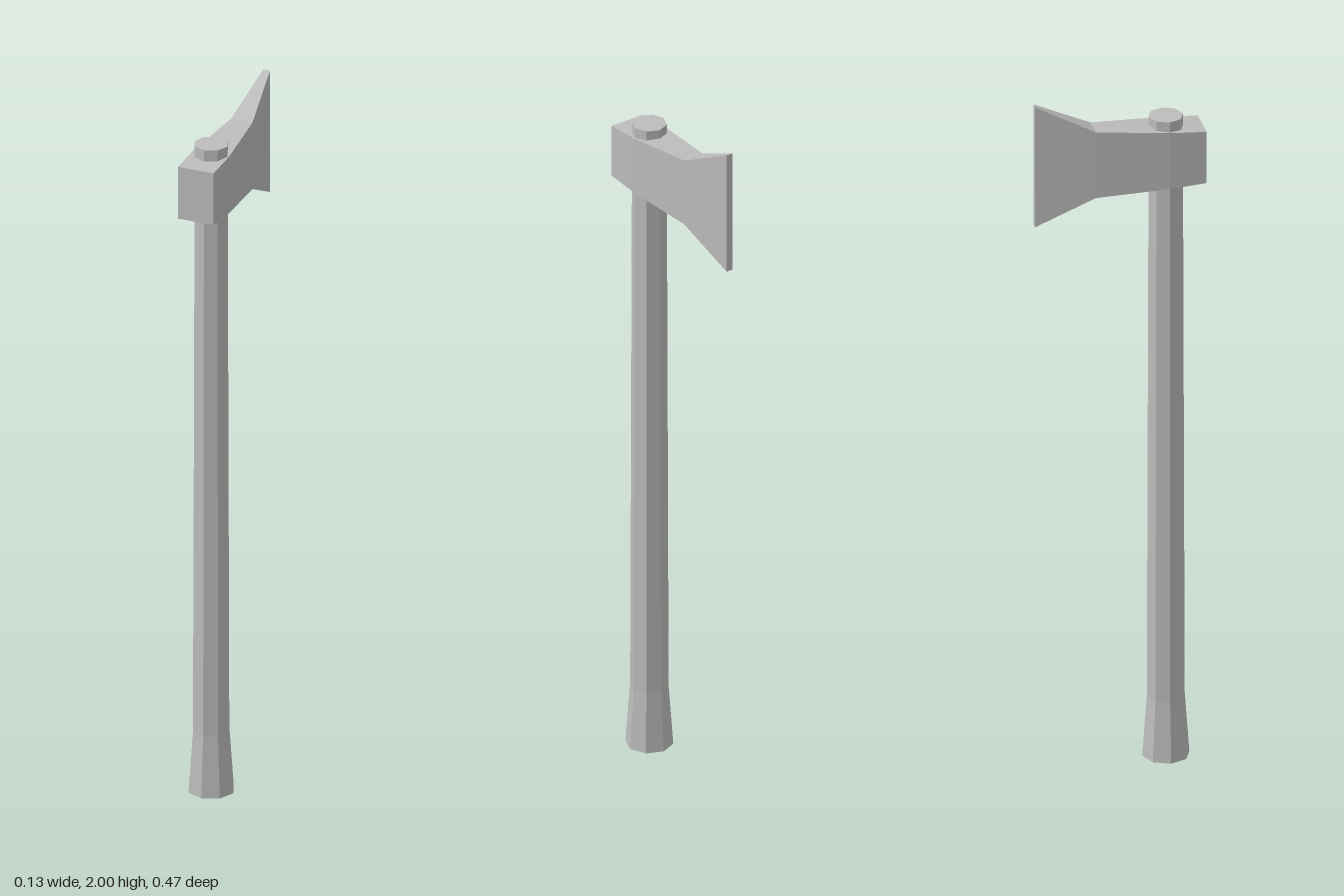
import * as THREE from 'three';

// Closed solid lofted through rectangular sections [z, halfWidth, yBottom, yTop], front to back
function loftSections(sections) {
  const positions = [];
  const index = [];
  for (const [z, w, y0, y1] of sections) {
    positions.push(-w, y0, z, w, y0, z, w, y1, z, -w, y1, z);
  }
  for (let s = 0; s < sections.length - 1; s++) {
    for (let k = 0; k < 4; k++) {
      const a = s * 4 + k;
      const b = s * 4 + ((k + 1) % 4);
      index.push(a, a + 4, b + 4, a, b + 4, b);
    }
  }
  const e = (sections.length - 1) * 4;
  index.push(0, 1, 2, 0, 2, 3, e, e + 2, e + 1, e, e + 3, e + 2);
  const geometry = new THREE.BufferGeometry();
  geometry.setAttribute('position', new THREE.Float32BufferAttribute(positions, 3));
  geometry.setIndex(index);
  const flat = geometry.toNonIndexed();
  flat.computeVertexNormals();
  return flat;
}

export function createModel() {
  const group = new THREE.Group();
  group.name = 'axe';
  const grey = new THREE.MeshStandardMaterial({ color: 0xbcbcbc, flatShading: true });
  grey.name = 'plain grey';

  // Octagonal handle with a flared foot, passing through the head
  const profile = [[0, 0], [0.066, 0], [0.053, 0.18], [0.0485, 1.7], [0.0485, 1.932], [0, 1.932]]
    .map(([r, y]) => new THREE.Vector2(r, y));
  const handle = new THREE.Mesh(new THREE.LatheGeometry(profile, 8), grey);
  handle.name = 'handle';
  handle.position.z = 0.133;
  group.add(handle);

  // Axe head: square poll, tapering cheeks, flared bit
  const head = new THREE.Mesh(loftSections([
    [0.235, 0.053, 1.74, 1.895],
    [0.133, 0.053, 1.733, 1.902],
    [-0.07, 0.032, 1.718, 1.917],
    [-0.235, 0.01, 1.637, 2.0],
  ]), grey);
  head.name = 'axeHead';
  group.add(head);

  return group;
}
